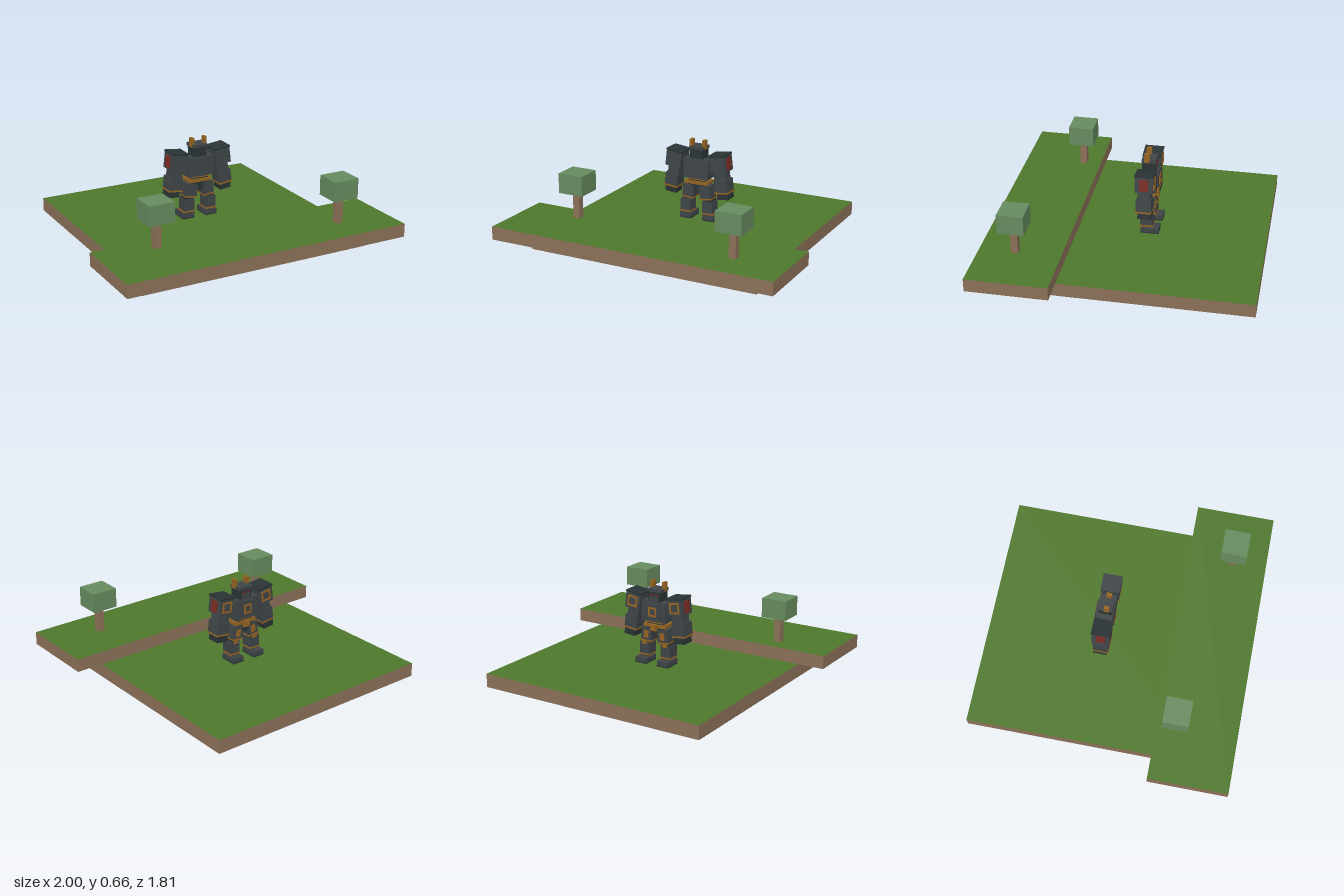
import * as THREE from 'three';

const mat = (name, color) => {
  const m = new THREE.MeshStandardMaterial({ color });
  m.name = name;
  return m;
};

export function createModel() {
  const grass = mat('grass', 0x4e772b);
  const earth = mat('earth', 0x8b7058);
  const leaves = mat('leaves', 0x668a5e);
  const armour = mat('armour', 0x3e4447);
  const joint = mat('joint', 0x2a3335);
  const trim = mat('trim', 0x946322);
  const red = mat('red', 0x7a2a22);

  const model = new THREE.Group();
  model.name = 'robotOnTerraces';

  // Box given by size and centre
  const box = (parent, name, material, [w, h, d], [x, y, z]) => {
    const mesh = new THREE.Mesh(new THREE.BoxGeometry(w, h, d), material);
    mesh.name = name;
    mesh.position.set(x, y, z);
    parent.add(mesh);
    return mesh;
  };
  const group = (parent, name, x, y, z, tilt = 0) => {
    const g = new THREE.Group();
    g.name = name;
    g.position.set(x, y, z);
    g.rotation.z = tilt;
    parent.add(g);
    return g;
  };
  // Thin square frame on a face that looks towards -z
  const frame = (parent, name, w, h, t, x, y, z) => {
    for (const s of [-1, 1]) {
      box(parent, name, trim, [w, t, 0.006], [x, y + s * (h - t) / 2, z]);
      box(parent, name, trim, [t, h - 2 * t, 0.006], [x + s * (w - t) / 2, y, z]);
    }
  };

  // Terraces: grass on top, earth elsewhere
  const soil = [earth, earth, grass, earth, earth, earth];
  box(model, 'lowerTerrace', soil, [1.63, 0.093, 1.635], [0, 0.0465, -0.09]);
  box(model, 'upperTerrace', soil, [2, 0.09, 0.543], [0, 0.14, 0.636]);

  // Trees
  for (const [x, z] of [[-0.602, 0.487], [0.633, 0.669]]) {
    const tree = group(model, 'tree', x, 0.185, z);
    box(tree, 'trunk', earth, [0.047, 0.185, 0.047], [0, 0.0925, 0]);
    box(tree, 'canopy', leaves, [0.178, 0.135, 0.174], [0, 0.2475, 0]);
  }

  // Robot, facing -z
  const robot = group(model, 'robot', 0, 0, -0.1);

  // Torso
  box(robot, 'chest', armour, [0.185, 0.138, 0.11], [0, 0.459, 0]);
  box(robot, 'chestPlate', armour, [0.1, 0.11, 0.014], [0, 0.465, -0.06]);
  frame(robot, 'chestFrame', 0.06, 0.065, 0.012, 0, 0.46, -0.069);
  box(robot, 'waist', joint, [0.125, 0.06, 0.08], [0, 0.37, 0]);
  box(robot, 'waistTrim', trim, [0.13, 0.01, 0.086], [0, 0.383, 0]);
  box(robot, 'belt', trim, [0.165, 0.022, 0.098], [0, 0.359, 0]);
  box(robot, 'buckle', trim, [0.045, 0.045, 0.02], [0, 0.35, -0.052]);
  box(robot, 'pelvis', joint, [0.13, 0.065, 0.085], [0, 0.32, 0]);

  // Head
  box(robot, 'head', joint, [0.094, 0.078, 0.09], [0, 0.566, 0]);
  box(robot, 'helmet', armour, [0.108, 0.02, 0.096], [0, 0.601, 0]);
  box(robot, 'face', armour, [0.065, 0.03, 0.006], [0, 0.548, -0.047]);

  for (const s of [-1, 1]) {
    const side = s > 0 ? 'left' : 'right';
    box(robot, side + 'Horn', trim, [0.022, 0.062, 0.035], [s * 0.047, 0.625, 0.012]);
    box(robot, side + 'Eye', red, [0.018, 0.01, 0.006], [s * 0.02, 0.573, -0.047]);

    // Arm, splayed outwards
    const arm = group(robot, side + 'Arm', s * 0.164, 0.513, 0.004, s * 0.12);
    box(arm, 'shoulder', armour, [0.114, 0.118, 0.12], [0, 0, 0]);
    box(arm, 'shoulderCap', joint, [0.12, 0.012, 0.128], [0, 0.055, 0]);
    frame(arm, 'shoulderFrame', 0.075, 0.075, 0.012, 0, -0.005, -0.062);
    box(arm, 'shoulderMark', red, [0.006, 0.08, 0.06], [s * 0.059, -0.005, 0]);
    box(arm, 'upperArm', armour, [0.08, 0.07, 0.085], [0, -0.085, 0]);
    box(arm, 'forearm', armour, [0.094, 0.09, 0.102], [s * 0.005, -0.157, 0]);
    box(arm, 'wristTrim', trim, [0.1, 0.011, 0.107], [s * 0.005, -0.202, 0]);
    box(arm, 'hand', joint, [0.082, 0.046, 0.09], [s * 0.006, -0.228, -0.006]);

    // Leg
    const leg = group(robot, side + 'Leg', s * 0.063, 0.293, 0, s * 0.1);
    box(leg, 'thigh', armour, [0.08, 0.09, 0.092], [0, 0, 0]);
    box(leg, 'thighTrim', trim, [0.085, 0.01, 0.097], [0, -0.045, 0]);
    box(leg, 'thighPlate', trim, [0.035, 0.05, 0.006], [0, 0, -0.048]);
    box(robot, side + 'Knee', joint, [0.062, 0.04, 0.075], [s * 0.078, 0.238, 0]);
    box(robot, side + 'KneeCap', trim, [0.035, 0.03, 0.012], [s * 0.08, 0.235, -0.041]);
    box(robot, side + 'Shin', armour, [0.075, 0.085, 0.085], [s * 0.083, 0.188, 0.002]);
    box(robot, side + 'AnkleTrim', trim, [0.081, 0.011, 0.09], [s * 0.084, 0.145, 0.002]);
    box(robot, side + 'Ankle', joint, [0.06, 0.02, 0.07], [s * 0.084, 0.135, 0]);
    box(robot, side + 'Foot', armour, [0.084, 0.034, 0.122], [s * 0.086, 0.115, -0.02]);
    box(robot, side + 'Sole', joint, [0.086, 0.008, 0.125], [s * 0.086, 0.097, -0.02]);
  }
  return model;
}
